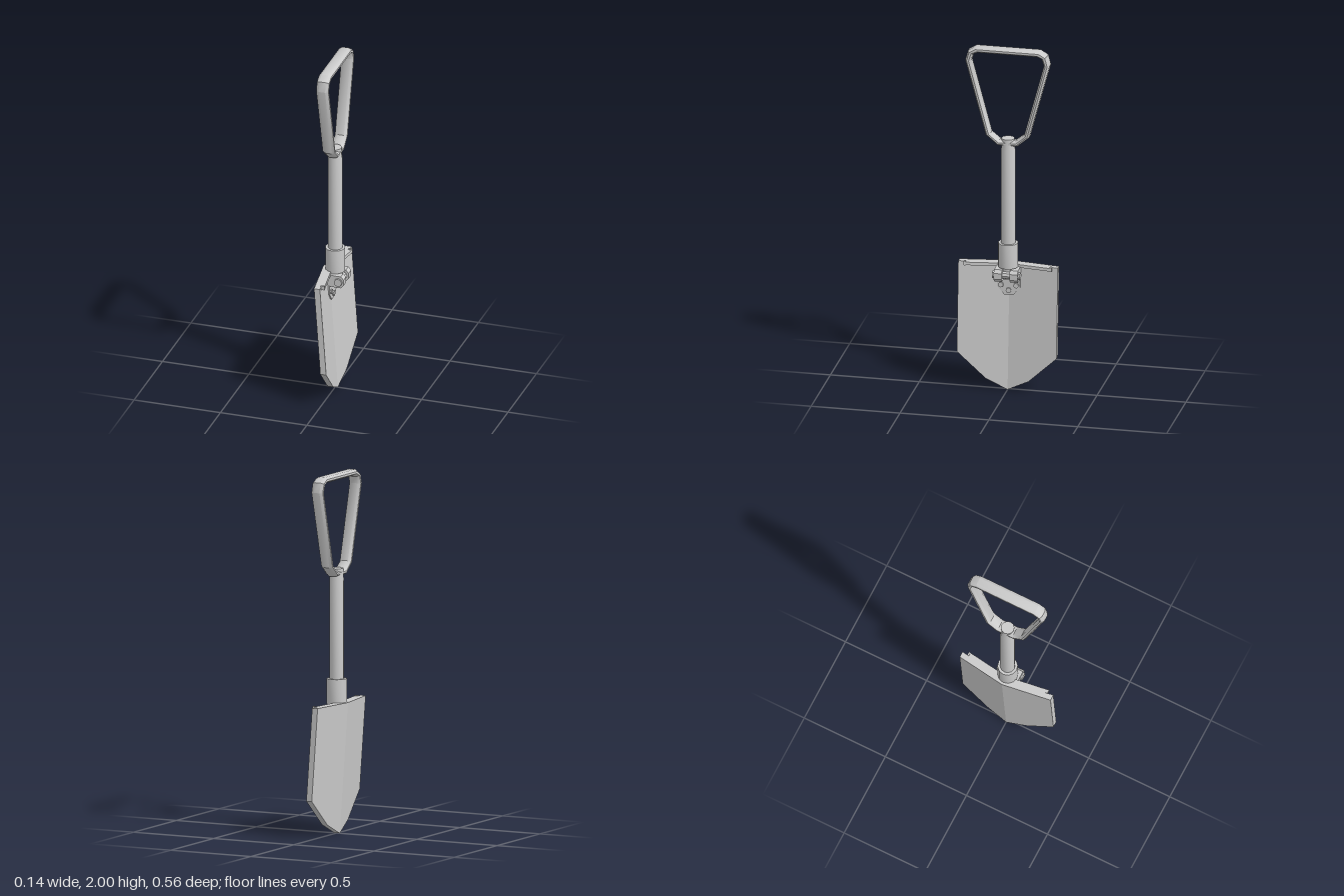
import * as THREE from 'three';
import { toCreasedNormals } from 'three/addons/utils/BufferGeometryUtils.js';

export function createModel() {
  const model = new THREE.Group();
  const material = new THREE.MeshStandardMaterial({ color: 0xcccccc });

  function add(name, geometry, x = 0, y = 0, z = 0) {
    const mesh = new THREE.Mesh(toCreasedNormals(geometry, 0.6), material);
    mesh.name = name;
    mesh.position.set(x, y, z);
    model.add(mesh);
    return mesh;
  }
  const points = (list) => list.map(([u, v]) => new THREE.Vector2(u, v));

  // Closed symmetric outline, counter-clockwise, from its right half listed top to bottom
  const mirrored = (half) => points([
    ...half.map(([u, v]) => [-u, v]),
    ...half.slice().reverse(),
  ]);

  // Profile in the z/y plane, extruded along +x
  function sideExtrude(shape, depth, options = {}) {
    return new THREE.ExtrudeGeometry(shape, { depth, bevelEnabled: false, ...options }).rotateY(Math.PI / 2);
  }

  // Sheet following the blade: folded at z = 0 and leaning along its height
  function bladeSheet(outline, side, depth, offset = 0) {
    const shape = new THREE.Shape(points(outline.map(([u, v]) => [u * side, v])));
    const sheet = sideExtrude(shape, depth);
    const p = sheet.attributes.position;
    for (let i = 0; i < p.count; i++) {
      const lean = 0.14 * Math.abs(p.getZ(i)) + 0.07 * (0.73 - p.getY(i));
      p.setX(i, p.getX(i) - 0.07 + offset + lean);
    }
    return sheet;
  }

  // Blade halves, each with a folded lip along the top edge
  for (const s of [1, -1]) {
    add('bladeHalf', bladeSheet([[0, 0.73], [0.28, 0.73], [0.28, 0.21], [0.12, 0.06], [0, 0]], s, 0.034));
    add('bladeLip', bladeSheet([[0.04, 0.73], [0.24, 0.73], [0.24, 0.713], [0.04, 0.713]], s, 0.022, 0.032));
    add('lipEnd', bladeSheet([[0.237, 0.735], [0.247, 0.735], [0.247, 0.712], [0.237, 0.712]], s, 0.022, 0.032));
  }

  // Shaft with its end plug, and the locking collar
  const shaft = [[0, 0.7], [0.041, 0.7], [0.041, 1.405], [0.037, 1.43], [0.037, 1.473], [0, 1.473]];
  add('shaft', new THREE.LatheGeometry(points(shaft), 12));
  const collar = [[0, 0.72], [0.056, 0.72], [0.056, 0.86], [0, 0.86]];
  add('collar', new THREE.LatheGeometry(points(collar), 12));

  // Handle: rounded triangular ring with a chamfered section
  const ring = new THREE.Shape(mirrored([[0.18, 2], [0.222, 1.975], [0.237, 1.92], [0.122, 1.49], [0.055, 1.433]]));
  ring.holes.push(new THREE.Path(mirrored([[0.168, 1.968], [0.193, 1.957], [0.205, 1.918], [0.094, 1.502], [0.045, 1.463]])));
  add('handle', sideExtrude(ring, 0.038, {
    bevelEnabled: true, bevelSegments: 1, bevelThickness: 0.016, bevelSize: 0.01, bevelOffset: -0.01,
  }), -0.019);

  // Hinge plate on the blade, with rivets
  const plate = new THREE.Shape(mirrored([[0.065, 0.66], [0.065, 0.595], [0.025, 0.547]]));
  add('hingePlate', sideExtrude(plate, 0.025), -0.036);
  for (const [z, y] of [[0.043, 0.605], [-0.043, 0.605], [0, 0.575]]) {
    const rivet = add('rivet', new THREE.CylinderGeometry(0.015, 0.015, 0.016, 8), -0.011, y, z);
    rivet.rotation.z = Math.PI / 2;
  }

  // Hinge knuckles, bolt and bolt heads
  const lug = new THREE.Shape(points([
    [-0.03, 0.65], [0.022, 0.645], [0.054, 0.645], [0.07, 0.663],
    [0.07, 0.697], [0.054, 0.715], [0.022, 0.715], [-0.03, 0.72],
  ]));
  for (const s of [1, -1]) {
    const knuckle = new THREE.ExtrudeGeometry(lug, { depth: 0.045, bevelEnabled: false });
    add('hingeKnuckle', knuckle, 0, 0, s > 0 ? 0.022 : -0.067);
    const head = add('boltHead', new THREE.CylinderGeometry(0.023, 0.023, 0.012, 8), 0.04, 0.68, 0.072 * s);
    head.rotation.x = Math.PI / 2;
  }
  const bolt = add('hingeBolt', new THREE.CylinderGeometry(0.021, 0.021, 0.13, 8), 0.04, 0.68, 0);
  bolt.rotation.x = Math.PI / 2;
  add('hingeTongue', new THREE.BoxGeometry(0.05, 0.08, 0.04), 0, 0.69, 0);

  return model;
}
